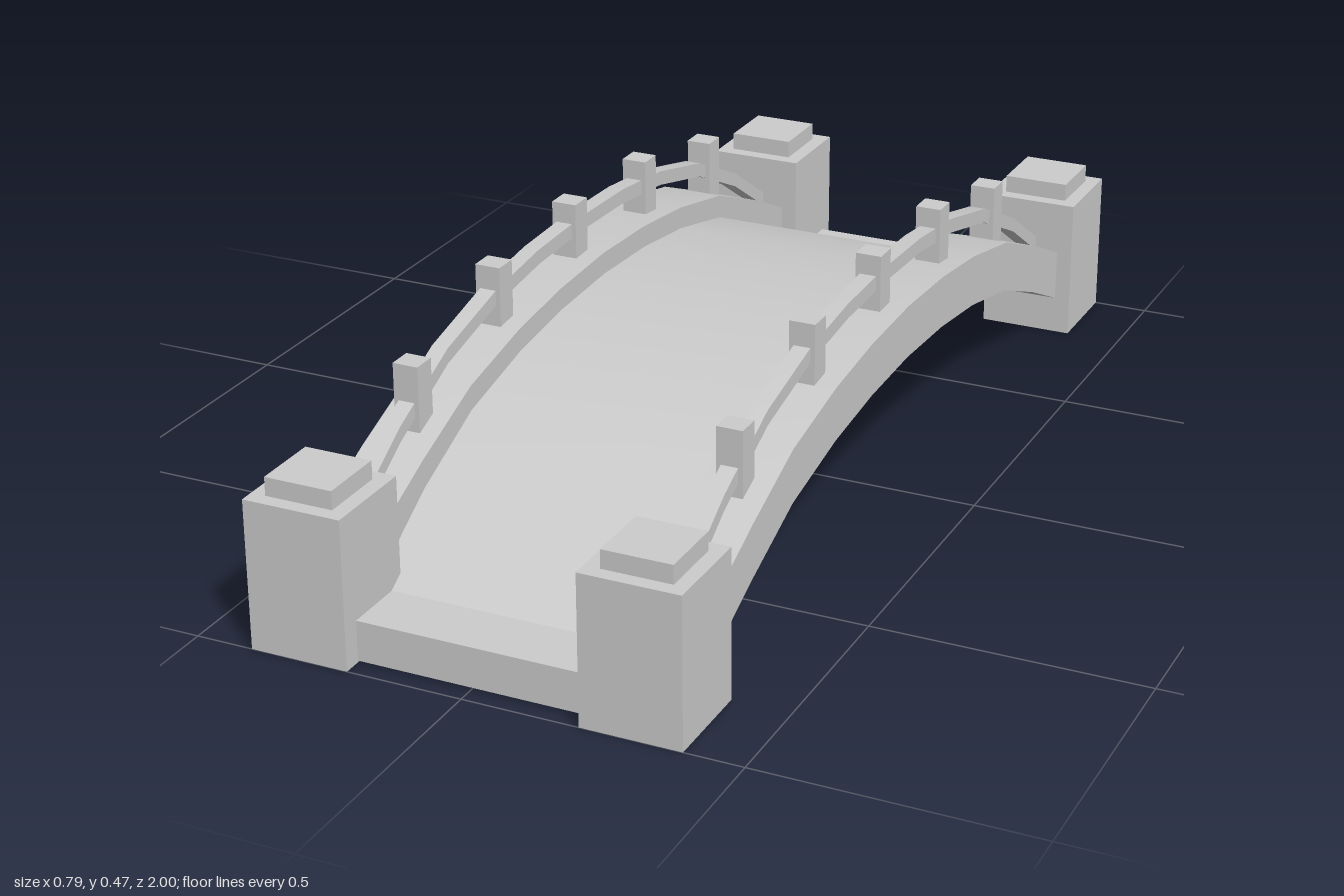
import * as THREE from 'three';
import { toCreasedNormals } from 'three/addons/utils/BufferGeometryUtils.js';

const material = new THREE.MeshStandardMaterial({ color: 0xcccccc });

// Half-span profiles as [z, y], mirrored to the far half
const beamTop = [[0, 0.367], [0.17, 0.36], [0.33, 0.342], [0.51, 0.305], [0.68, 0.237], [0.85, 0.158], [0.9, 0.135]];
const railTop = [[0, 0.433], [0.17, 0.428], [0.33, 0.41], [0.51, 0.367], [0.68, 0.288], [0.85, 0.18]];
const deckTop = [[0, 0.325], [0.17, 0.318], [0.33, 0.299], [0.51, 0.259], [0.68, 0.183], [0.85, 0.077], [0.965, 0.077]];
const deckBottom = [[0, 0.268], [0.17, 0.261], [0.33, 0.243], [0.51, 0.205], [0.68, 0.135], [0.85, 0.057], [0.965, 0.003]];

const lower = (profile, d) => profile.map(([z, y]) => [z, y - d]);
const fullSpan = (half) => [...half.slice(1).reverse().map(([z, y]) => [-z, y]), ...half];

// Arched bar: side profile between two curves, extruded across x
function arch(name, top, bottom, width, x) {
  const outline = [...fullSpan(bottom), ...fullSpan(top).reverse()];
  const shape = new THREE.Shape(outline.map(([z, y]) => new THREE.Vector2(z, y)));
  const geo = new THREE.ExtrudeGeometry(shape, { depth: width, bevelEnabled: false });
  geo.rotateY(-Math.PI / 2).translate(width / 2 + x, 0, 0);
  const mesh = new THREE.Mesh(toCreasedNormals(geo, 0.5), material);
  mesh.name = name;
  return mesh;
}

// Box standing on y0
function block(name, w, h, d, x, y0, z) {
  const mesh = new THREE.Mesh(new THREE.BoxGeometry(w, h, d), material);
  mesh.position.set(x, y0 + h / 2, z);
  mesh.name = name;
  return mesh;
}

export function createModel() {
  const bridge = new THREE.Group();
  bridge.name = 'archedBridge';

  // Walkway with flat landings at both ends
  bridge.add(arch('deck', deckTop, deckBottom, 0.486, 0));

  // Small railing posts: [z, top y]
  const posts = [[0.605, 0.38], [0.312, 0.453], [0.02, 0.47], [-0.27, 0.457], [-0.56, 0.4]];

  for (const s of [1, -1]) {
    const label = s > 0 ? 'left' : 'right';
    const side = new THREE.Group();
    side.name = label + 'Side';

    // Curb beam and handrail
    side.add(arch('curbBeam', beamTop, lower(beamTop, 0.099), 0.121, s * 0.3035));
    side.add(arch('handrail', railTop, lower(railTop, 0.028), 0.031, s * 0.302));

    for (const [z, y] of posts) {
      side.add(block('railPost', 0.048, 0.13, 0.046, s * 0.302, y - 0.13, z));
    }

    // Corner pillars with caps
    for (const e of [1, -1]) {
      side.add(block('pillar', 0.182, 0.275, 0.18, s * 0.303, 0, e * 0.91));
      side.add(block('pillarCap', 0.126, 0.034, 0.126, s * 0.304, 0.275, e * 0.91));
    }
    bridge.add(side);
  }
  return bridge;
}
